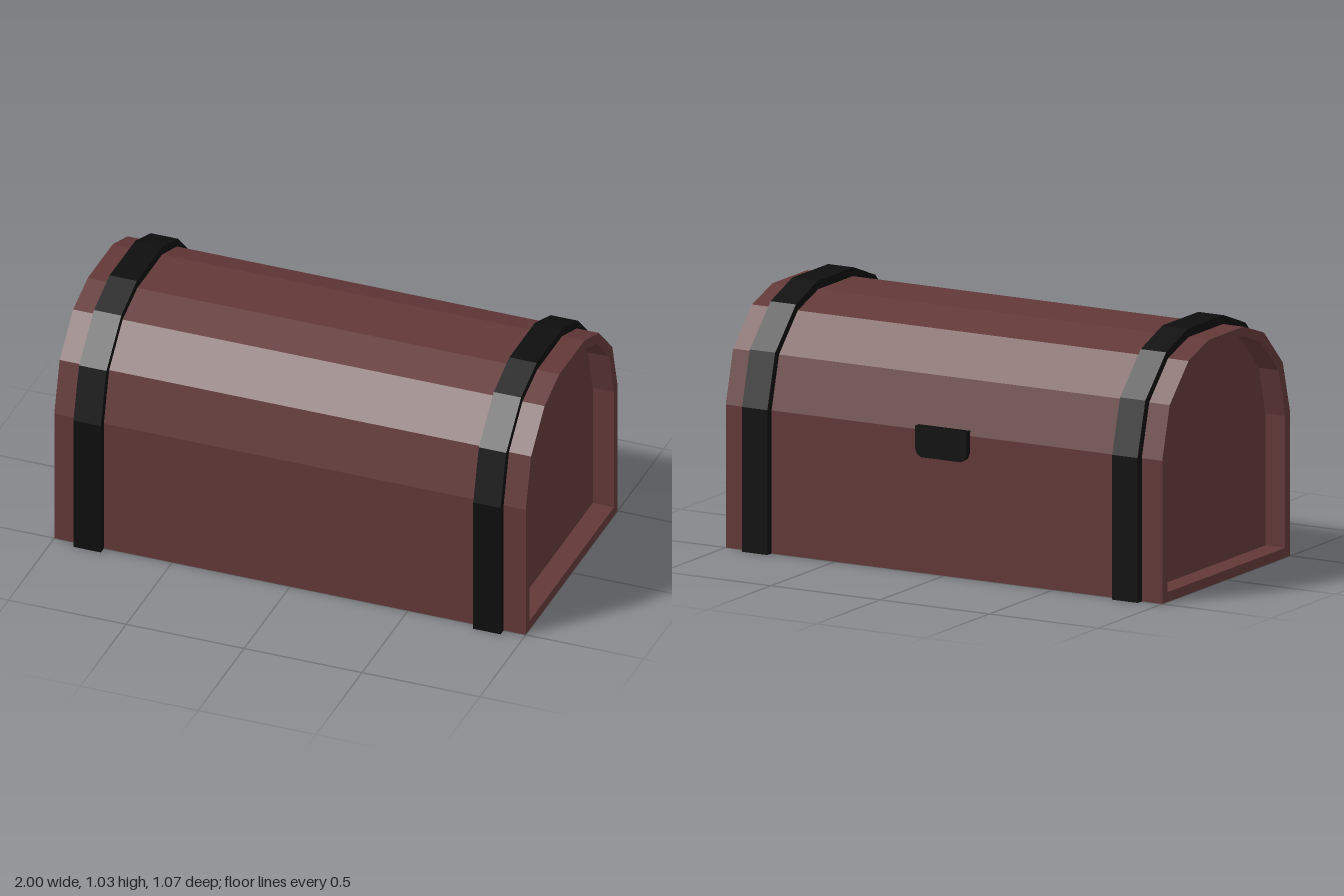
import * as THREE from 'three';

// Right half of each arch, from the base up to the crown: [z, y]
const OUTER = [[0.5, 0], [0.5, 0.58], [0.442, 0.795], [0.295, 0.945], [0.135, 1.0]];
const INNER = [[0.46, 0.04], [0.46, 0.575], [0.408, 0.77], [0.272, 0.91], [0.128, 0.962]];
const BAND = [[0.533, 0], [0.533, 0.587], [0.472, 0.808], [0.31, 0.972], [0.14, 1.035]];

// Mirror a half arch into a full outline
function arch(half) {
  const left = half.map(([z, y]) => [-z, y]).reverse();
  return [...half, ...left].map(([z, y]) => new THREE.Vector2(z, y));
}

// Extrude an outline along x, centred on the given x
function extrudeX(shape, length, x) {
  const geo = new THREE.ExtrudeGeometry(shape, { depth: length, bevelEnabled: false });
  geo.translate(0, 0, -length / 2);
  geo.rotateY(Math.PI / 2);
  geo.translate(x, 0, 0);
  return geo;
}

export function createModel() {
  const group = new THREE.Group();
  const wood = new THREE.MeshStandardMaterial({ color: 0x623838 });
  wood.name = 'reddish brown wood';
  const iron = new THREE.MeshStandardMaterial({ color: 0x0e0e0e });
  iron.name = 'black iron';

  function add(name, geo, material) {
    const mesh = new THREE.Mesh(geo, material);
    mesh.name = name;
    group.add(mesh);
  }

  // Chest shell, with a raised rim at both ends
  const shell = new THREE.Shape(arch(OUTER));
  shell.holes.push(new THREE.Path(arch(INNER)));
  add('chestShell', extrudeX(shell, 2, 0), wood);

  for (const [side, s] of [['left', 1], ['right', -1]]) {
    // Recessed end panel
    add(side + 'EndPanel', extrudeX(new THREE.Shape(arch(INNER)), 0.04, s * 0.89), wood);
    // Iron strap over the sides and lid, open underneath
    const strap = new THREE.Shape([...arch(BAND), ...arch(OUTER).reverse()]);
    add(side + 'Strap', extrudeX(strap, 0.116, s * 0.848), iron);
  }

  // Latch plate with cut lower corners, on the back
  const latch = new THREE.Shape([
    [-0.09, 0.475], [0.09, 0.475], [0.11, 0.487], [0.118, 0.51],
    [0.118, 0.6], [-0.118, 0.6], [-0.118, 0.51], [-0.11, 0.487],
  ].map(([x, y]) => new THREE.Vector2(x, y)));
  const latchGeo = new THREE.ExtrudeGeometry(latch, { depth: 0.045, bevelEnabled: false });
  latchGeo.translate(0, 0, -0.525);
  add('latch', latchGeo, iron);

  return group;
}
